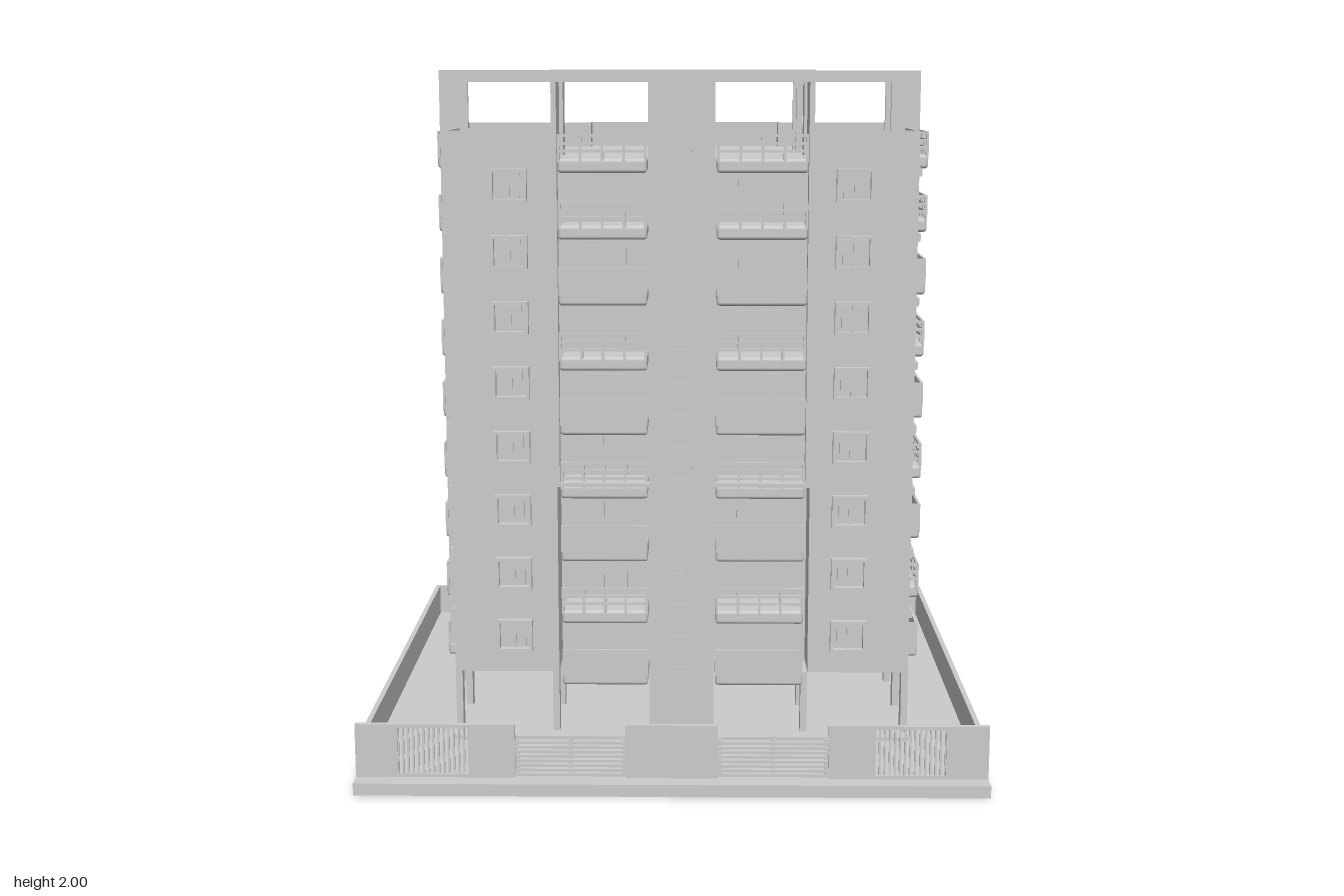
import * as THREE from 'three';
import { RoundedBoxGeometry } from 'three/addons/geometries/RoundedBoxGeometry.js';

const grey = new THREE.MeshStandardMaterial({ color: 0xcccccc });
const FLOOR0 = 0.23, STEP = 0.19, ROOF = 1.75, GROUND = 0.035;
const floorY = (i) => FLOOR0 + STEP * i;

export function createModel() {
  const model = new THREE.Group();

  const group = (name, parent = model) => {
    const g = new THREE.Group();
    g.name = name;
    parent.add(g);
    return g;
  };
  const add = (name, geo, parent = model) => {
    const m = new THREE.Mesh(geo, grey);
    m.name = name;
    parent.add(m);
    return m;
  };
  // Box given by its limits on each axis
  const box = (name, x0, x1, y0, y1, z0, z1, parent, round = 0) => {
    const w = x1 - x0, h = y1 - y0, d = z1 - z0;
    const geo = round ? new RoundedBoxGeometry(w, h, d, 2, round) : new THREE.BoxGeometry(w, h, d);
    const m = add(name, geo, parent);
    m.position.set((x0 + x1) / 2, (y0 + y1) / 2, (z0 + z1) / 2);
    return m;
  };
  const rectHole = (x0, x1, y0, y1) => new THREE.Path([[x0, y0], [x0, y1], [x1, y1], [x1, y0]].map((p) => new THREE.Vector2(...p)));
  const rectShape = (x0, x1, y0, y1) => new THREE.Shape([[x0, y0], [x1, y0], [x1, y1], [x0, y1]].map((p) => new THREE.Vector2(...p)));
  const extrude = (shape, depth) => new THREE.ExtrudeGeometry(shape, { depth, bevelEnabled: false });

  // Plot: slab, boundary walls and the street front with gates
  const plot = group('plot');
  box('plotSlab', -0.89, 0.89, 0, GROUND, -0.83, 0.83, plot);
  box('backWall', -0.89, 0.89, GROUND, 0.135, -0.83, -0.815, plot);
  for (const s of [-1, 1]) {
    box('sideWall', s * 0.8825 - 0.0075, s * 0.8825 + 0.0075, GROUND, 0.135, -0.815, 0.765, plot);
    const [a, b] = s < 0 ? [-0.89, -0.44] : [0.44, 0.89];
    const [c, d] = s < 0 ? [-0.77, -0.57] : [0.57, 0.77];
    const wall = rectShape(a, b, GROUND, 0.19);
    wall.holes.push(rectHole(c, d, 0.045, 0.18));
    add('streetWall', extrude(wall, 0.015), plot).position.z = 0.765;
    for (let k = 0; k <= 14; k++) {
      const x = c + ((d - c) * k) / 14;
      box('fenceBar', x - 0.003, x + 0.003, 0.04, 0.185, 0.769, 0.775, plot);
    }
    const [g0, g1] = s < 0 ? [-0.44, -0.13] : [0.13, 0.44];
    for (let k = 0; k < 8; k++) box('gateSlat', g0, g1, 0.037 + k * 0.0135, 0.045 + k * 0.0135, 0.765, 0.773, plot);
    for (const x of [g0 + 0.005, (g0 + g1) / 2, g1 - 0.005]) box('gatePost', x - 0.005, x + 0.005, GROUND, 0.145, 0.76, 0.767, plot);
  }
  box('middleStreetWall', -0.13, 0.13, GROUND, 0.19, 0.765, 0.78, plot);
  box('entrancePlinth', -0.65, 0.70, GROUND, 0.045, 0.2, 0.48, plot);

  // Main body above the open ground floor
  const plan = [
    [-0.71, -0.55], [-0.30, -0.55], [-0.30, -0.64], [0.35, -0.64], [0.35, -0.55], [0.76, -0.55],
    [0.76, -0.26], [0.61, -0.26], [0.61, -0.08], [0.70, -0.08], [0.70, 0.04], [0.61, 0.04],
    [0.61, 0.155], [0.70, 0.155], [0.70, 0.43], [0.40, 0.43], [0.40, 0.29], [-0.34, 0.29],
    [-0.34, 0.43], [-0.65, 0.43], [-0.65, 0.16], [-0.61, 0.16], [-0.61, 0.04], [-0.70, 0.04],
    [-0.70, -0.08], [-0.61, -0.08], [-0.61, -0.25], [-0.71, -0.25],
  ];
  const body = extrude(new THREE.Shape(plan.map(([x, z]) => new THREE.Vector2(x, -z))), ROOF - FLOOR0);
  body.rotateX(-Math.PI / 2);
  add('mainBody', body).position.y = FLOOR0;

  // Ground floor rooms and columns
  const base = group('groundFloor');
  box('rearRoom', -0.71, -0.34, GROUND, FLOOR0, -0.55, -0.25, base);
  box('rearRoom', 0.40, 0.76, GROUND, FLOOR0, -0.55, -0.26, base);
  for (const x of [-0.64, -0.35, 0.39, 0.69])
    for (const [z0, z1] of [[0.39, 0.43], [0.16, 0.2]]) box('column', x - 0.01, x + 0.01, GROUND, FLOOR0, z0, z1, base);
  for (const x of [-0.29, -0.08, 0.13, 0.34]) box('rearColumn', x - 0.01, x + 0.01, GROUND, FLOOR0, -0.64, -0.62, base);
  for (const x of [-0.69, 0.69]) box('sideColumn', x - 0.01, x + 0.01, GROUND, FLOOR0, -0.08, -0.05, base);

  // Stair core with a ribbed front strip
  const core = group('stairCore');
  box('core', -0.07, 0.12, GROUND, 1.97, 0.12, 0.457, core);
  for (const x of [0, 0.05]) box('coreStrip', x - 0.003, x + 0.003, 0.25, 1.9, 0.457, 0.461, core);
  for (let k = 0; k < 18; k++) box('coreRib', 0, 0.05, 0.25 + k * 0.095, 0.256 + k * 0.095, 0.457, 0.461, core);

  // Roof parapets follow the outline in runs
  const parapet = group('parapet');
  const runs = [
    [[-0.34, 0.165], [-0.645, 0.165], [-0.645, 0.425], [-0.34, 0.425]],
    [[0.40, 0.425], [0.695, 0.425], [0.695, 0.155]],
    [[-0.705, -0.25], [-0.705, -0.545], [-0.295, -0.545], [-0.295, -0.635], [0.345, -0.635], [0.345, -0.545], [0.755, -0.545], [0.755, -0.26]],
  ];
  for (const run of runs)
    for (let k = 1; k < run.length; k++) {
      const [a, b] = [run[k - 1], run[k]], t = 0.005;
      box('parapetWall', Math.min(a[0], b[0]) - t, Math.max(a[0], b[0]) + t, ROOF, 1.83,
        Math.min(a[1], b[1]) - t, Math.max(a[1], b[1]) + t, parapet);
    }

  // Balconies: solid fronts and open railings on alternate floors
  const balcony = (name, x0, x1, z0, z1, sides, top = 8) => {
    const stack = group(name);
    const t = 0.008;
    const edges = { f: [x0, x1, z1 - t, z1], b: [x0, x1, z0, z0 + t], r: [x1 - t, x1, z0, z1], l: [x0, x0 + t, z0, z1] };
    for (let i = 0; i <= top; i++) {
      const y = floorY(i);
      box('balconySlab', x0, x1, y - 0.04, y, z0, z1, stack, 0.01);
      for (const s of sides) {
        const [a, b, c, d] = edges[s];
        if (i % 2 === 0 && i < 8) {
          box('balconyFront', a, b, y - 0.01, y + 0.07, c, d, stack);
          continue;
        }
        for (const h of [0.022, 0.044, 0.066]) box('rail', a, b, y + h - 0.004, y + h + 0.004, c, d, stack);
        const alongX = s === 'f' || s === 'b';
        const n = Math.max(2, Math.round((alongX ? b - a : d - c) / 0.06));
        for (let k = 0; k <= n; k++) {
          const px = alongX ? a + ((b - a - t) * k) / n : a;
          const pz = alongX ? c : c + ((d - c - t) * k) / n;
          box('railPost', px, px + t, y - 0.01, y + 0.07, pz, pz + t, stack);
        }
      }
    }
  };
  balcony('frontBalconyRight', -0.33, -0.075, 0.28, 0.44, ['f']);
  balcony('frontBalconyLeft', 0.125, 0.385, 0.28, 0.44, ['f']);
  balcony('leftWrapBalcony', 0.60, 0.76, -0.075, 0.155, ['r', 'f']);
  balcony('leftRearBalcony', 0.60, 0.755, -0.245, -0.09, ['r']);
  balcony('rightFrontBalcony', -0.71, -0.60, 0.04, 0.155, ['l']);
  balcony('rightRearBalcony', -0.71, -0.60, -0.25, -0.08, ['l']);
  balcony('backBalconyRight', -0.45, -0.29, -0.645, -0.54, ['b', 'l'], 7);
  balcony('backBalconyLeft', 0.34, 0.50, -0.645, -0.54, ['b', 'r'], 7);

  // Balcony doors set on the recessed walls
  const doors = group('balconyDoors');
  for (let i = 0; i < 8; i++) {
    const y = floorY(i);
    for (const x of [-0.27, -0.2, 0.19, 0.26]) box('door', x, x + 0.06, y, y + 0.12, 0.285, 0.296, doors);
  }

  // Windows: a projecting square surround, or a hood over a small window
  const ring = rectShape(-0.0525, 0.0525, -0.0475, 0.0475);
  ring.holes.push(rectHole(-0.044, 0.044, -0.039, 0.039));
  const ringGeo = extrude(ring, 0.022);
  const place = (name, x, y, z, turn) => {
    const g = group(name);
    g.position.set(x, y, z);
    g.rotation.y = turn;
    return g;
  };
  const squareWindow = (x, y, z, turn) => {
    const g = place('squareWindow', x, y, z, turn);
    add('surround', ringGeo, g);
    box('sash', -0.032, 0.032, -0.036, 0.036, -0.002, 0.006, g);
    box('mullion', -0.003, 0.003, -0.039, 0.039, 0, 0.01, g);
  };
  const hoodedWindow = (x, y, z, turn) => {
    const g = place('hoodedWindow', x, y, z, turn);
    box('hood', -0.053, 0.053, 0.036, 0.044, 0, 0.022, g);
    for (const s of [-1, 1]) box('hoodEnd', s * 0.05 - 0.003, s * 0.05 + 0.003, 0.02, 0.037, 0, 0.022, g);
    box('sash', -0.025, 0.025, -0.02, 0.036, -0.002, 0.005, g);
    box('sill', -0.03, 0.03, -0.026, -0.02, -0.002, 0.01, g);
  };
  const Q = Math.PI / 2;
  for (let i = -1; i < 8; i++) {
    const y = floorY(i) + 0.115;
    squareWindow(-0.565, y, -0.55, Math.PI);
    squareWindow(0.615, y, -0.55, Math.PI);
    hoodedWindow(0.76, y, -0.375, Q);
    hoodedWindow(-0.71, y, -0.375, -Q);
    if (i < 0) continue;
    squareWindow(-0.47, y, 0.43, 0);
    squareWindow(0.518, y, 0.43, 0);
    hoodedWindow(0.70, y, 0.265, Q);
    hoodedWindow(-0.65, y, 0.265, -Q);
    hoodedWindow(-0.16, y, -0.64, Math.PI);
    hoodedWindow(0.21, y, -0.64, Math.PI);
    // Broken string course on the rear bay
    for (let k = 0; k < 16; k++) box('courseDash', -0.29 + k * 0.04, -0.267 + k * 0.04, y - 0.117, y - 0.112, -0.643, -0.638, model);
  }

  // Roof pergola and the tall frame that carries it
  const pergola = group('pergola');
  const deck = rectShape(-0.345, 0.40, -0.46, -0.12);
  for (const start of [-0.326, 0.13])
    for (let k = 0; k < 7; k++) {
      const x = start + k * 0.038;
      deck.holes.push(rectHole(x, x + 0.021, -0.43, -0.335), rectHole(x, x + 0.021, -0.325, -0.14));
    }
  const deckGeo = extrude(deck, 0.035);
  deckGeo.rotateX(-Math.PI / 2);
  add('pergolaDeck', deckGeo, pergola).position.y = 1.965;
  for (const x of [-0.345, 0.385]) {
    box('tallPost', x, x + 0.015, 0.8, 1.97, 0.42, 0.46, pergola);
    box('frontPier', x, x + 0.015, ROOF, 1.966, 0.34, 0.46, pergola);
    box('rearPier', x, x + 0.015, ROOF, 1.966, 0.12, 0.19, pergola);
  }
  box('lowBeam', -0.345, -0.07, 0.8, 0.812, 0.43, 0.46, pergola);
  box('lowBeam', 0.12, 0.40, 0.8, 0.812, 0.43, 0.46, pergola);

  // Side frame on the right of the roof
  const rightFrame = group('rightRoofFrame');
  box('framePost', -0.70, -0.615, FLOOR0, 2, 0.15, 0.165, rightFrame);
  box('frameBeam', -0.70, -0.34, 1.965, 2, 0.15, 0.165, rightFrame);

  // Portal on the left of the roof, with fins running down the side
  const leftFrame = group('leftRoofFrame');
  box('portalTop', 0.67, 0.76, 1.98, 2, -0.265, -0.075, leftFrame);
  for (const z of [-0.265, -0.09]) {
    box('portalFin', 0.67, 0.76, FLOOR0, 1.98, z, z + 0.015, leftFrame);
    box('portalBeam', 0.38, 0.67, 1.965, 2, z, z + 0.015, leftFrame);
  }
  box('endBeam', 0.375, 0.395, 1.965, 2, -0.28, -0.06, leftFrame);
  for (const z of [-0.28, -0.08]) box('endPost', 0.375, 0.395, ROOF, 1.966, z, z + 0.02, leftFrame);

  return model;
}
